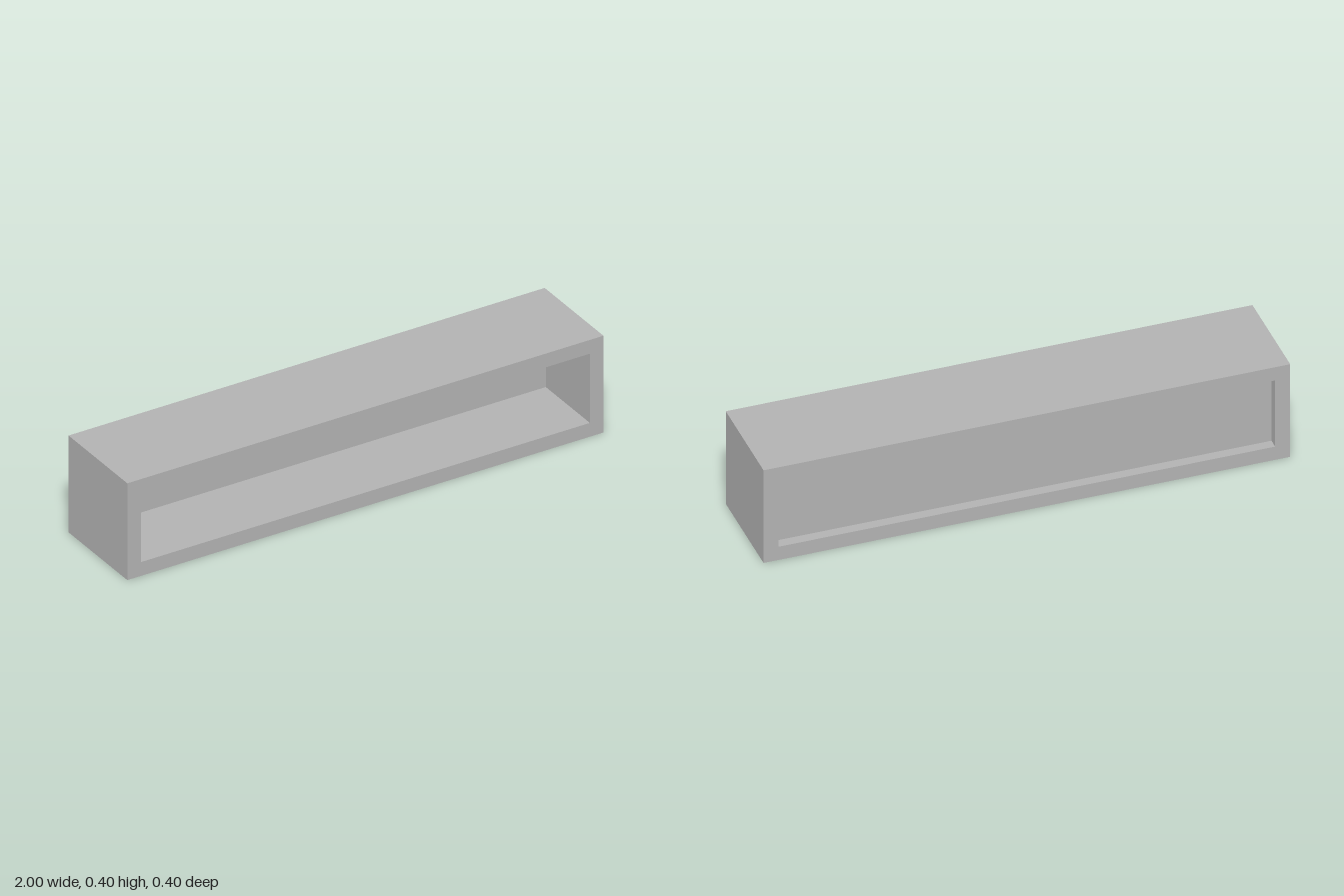
import * as THREE from 'three';

const WIDTH = 2, HEIGHT = 0.4, DEPTH = 0.4;
const WALL = 0.057;

// Rectangle outline centred on x, standing on y = 0, inset by a margin
function rectangle(PathType, inset) {
  const x = WIDTH / 2 - inset, y0 = inset, y1 = HEIGHT - inset;
  const path = new PathType();
  path.moveTo(-x, y0);
  path.lineTo(x, y0);
  path.lineTo(x, y1);
  path.lineTo(-x, y1);
  path.closePath();
  return path;
}

export function createModel() {
  const model = new THREE.Group();
  model.name = 'openBox';
  const grey = new THREE.MeshStandardMaterial({ color: 0xb2b2b2 });
  grey.name = 'grey';

  // Rectangular surround, open at the front and back
  const outline = rectangle(THREE.Shape, 0);
  outline.holes.push(rectangle(THREE.Path, WALL));
  const frameGeometry = new THREE.ExtrudeGeometry(outline, { depth: DEPTH, bevelEnabled: false });
  frameGeometry.translate(0, 0, -DEPTH / 2);
  const frame = new THREE.Mesh(frameGeometry, grey);
  frame.name = 'frame';

  // Back panel, set in slightly from the rear edge
  const panel = new THREE.Mesh(
    new THREE.BoxGeometry(WIDTH - 2 * WALL, HEIGHT - 2 * WALL, 0.06), grey);
  panel.position.set(0, HEIGHT / 2, -0.13);
  panel.name = 'backPanel';

  model.add(frame, panel);
  return model;
}
